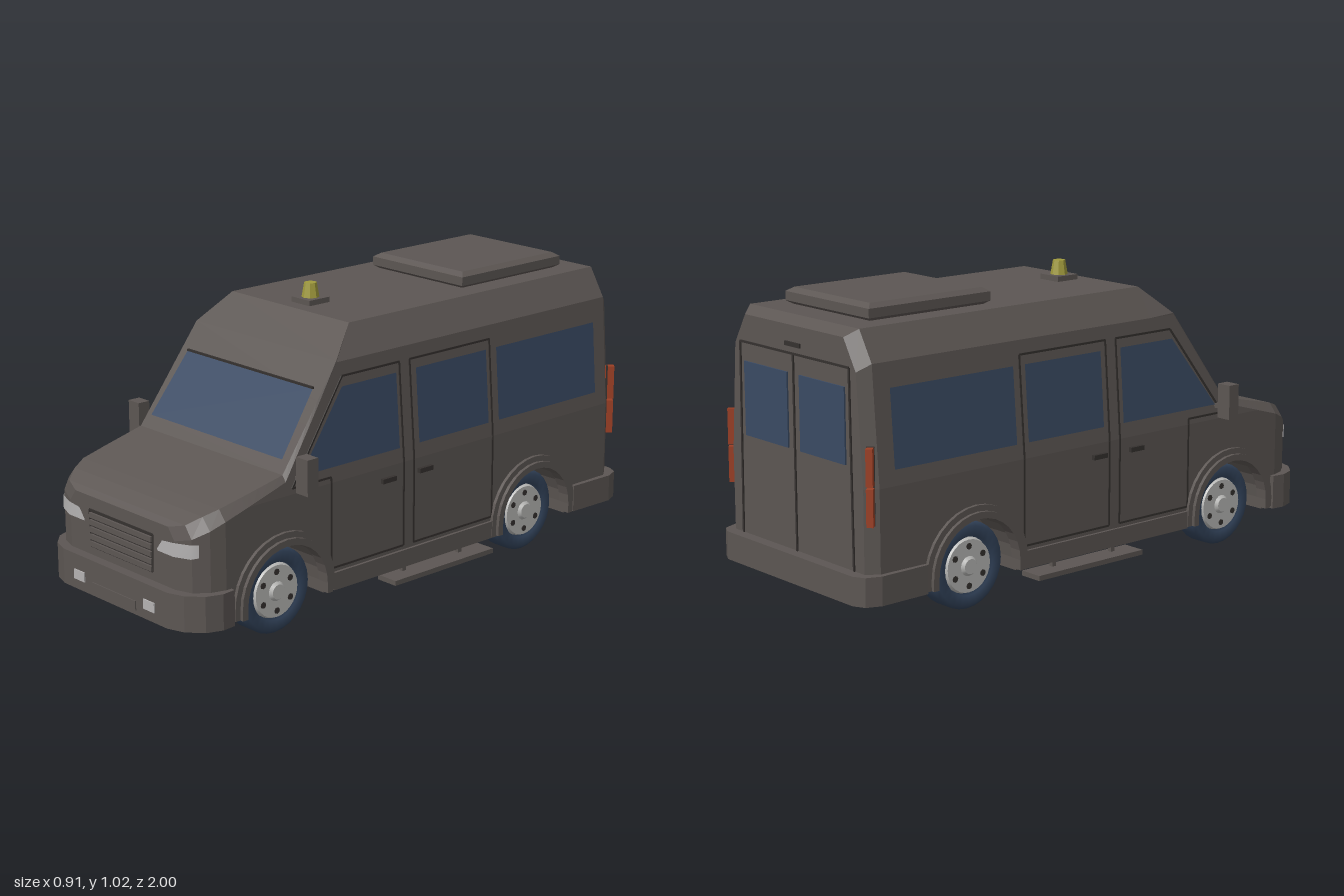
import * as THREE from 'three';

const mat = (name, color, side = THREE.FrontSide) => {
  const m = new THREE.MeshStandardMaterial({ color, side });
  m.name = name;
  return m;
};

export function createModel() {
  const paint = mat('bodyGrey', 0x5c5653);
  const seamDark = mat('seamDark', 0x35312f);
  const glass = mat('glassBlue', 0x3a4a63, THREE.DoubleSide);
  const rubber = mat('tyreBlue', 0x33445c);
  const silver = mat('wheelSilver', 0xb8b8b6);
  const lampWhite = mat('lampWhite', 0xb4b2b2, THREE.DoubleSide);
  const red = mat('tailRed', 0x9c3f24);
  const yellow = mat('beaconYellow', 0xa09a3c);

  const van = new THREE.Group();
  van.name = 'van';
  const add = (name, geo, m, x = 0, y = 0, z = 0) => {
    const mesh = new THREE.Mesh(geo, m);
    mesh.name = name;
    mesh.position.set(x, y, z);
    van.add(mesh);
    return mesh;
  };
  const box = (name, m, w, h, d, x, y, z) => add(name, new THREE.BoxGeometry(w, h, d), m, x, y, z);

  // Body profile rows: z, roof height, edge drop, edge inset, half width
  const profile = [
    [0.965, 0.42, 0.04, 0.03, 0.27], [0.945, 0.435, 0.04, 0.03, 0.33],
    [0.90, 0.46, 0.04, 0.035, 0.365], [0.85, 0.478, 0.035, 0.03, 0.38],
    [0.60, 0.535, 0.02, 0.015, 0.38], [0.36, 0.86, 0.005, 0, 0.38],
    [0.25, 0.955, 0.1, 0.06, 0.38], [-0.92, 0.955, 0.1, 0.06, 0.38],
    [-0.96, 0.93, 0.1, 0.06, 0.35],
  ];
  const sample = (z) => {
    let i = 0;
    while (i < profile.length - 2 && z < profile[i + 1][0]) i++;
    const a = profile[i], b = profile[i + 1], t = (a[0] - z) / (a[0] - b[0]);
    return a.map((v, k) => v + (b[k] - v) * t);
  };
  const sideX = (y, w = 0.38) => w - Math.max(0, (y - 0.47) / 0.385) * 0.03;

  // Stations along the body, with the lower edge lifted over each wheel
  const axles = [0.615, -0.54], axleY = 0.145, archR = 0.17, floorY = 0.105;
  const stations = profile.map((p) => [p[0], floorY]).filter(([z]) => axles.every((c) => Math.abs(z - c) > archR));
  for (const c of axles) {
    const angles = Array.from({ length: 13 }, (_, i) => (i * Math.PI) / 12);
    stations.push([c + archR + 1e-4, floorY], [c - archR - 1e-4, floorY]);
    angles.forEach((a) => stations.push([c + archR * Math.cos(a), axleY + archR * Math.sin(a)]));
  }
  stations.push([0.60, axleY + Math.sqrt(archR ** 2 - 0.015 ** 2)]);
  stations.sort((a, b) => b[0] - a[0]);

  const verts = [], faces = [], N = 8;
  stations.forEach(([z, yb], s) => {
    const [, top, drop, inset, w] = sample(z);
    const e = top - drop, y1 = Math.min(0.47, e);
    const half = [[w, yb], [sideX(y1, w), y1], [sideX(e, w), e], [sideX(e, w) - inset, top]];
    half.forEach(([x, y]) => verts.push(x, y, z));
    half.reverse().forEach(([x, y]) => verts.push(-x, y, z));
    if (s === 0) return;
    for (let k = 0; k < N; k++) {
      const a = (s - 1) * N + k, b = (s - 1) * N + ((k + 1) % N);
      faces.push(a, a + N, b + N, a, b + N, b);
    }
  });
  const last = (stations.length - 1) * N;
  for (let k = 1; k < N - 1; k++) faces.push(0, k, k + 1, last, last + k + 1, last + k);
  let shell = new THREE.BufferGeometry();
  shell.setAttribute('position', new THREE.Float32BufferAttribute(verts, 3));
  shell.setIndex(faces);
  shell = shell.toNonIndexed();
  shell.computeVertexNormals();
  add('body', shell, paint);
  box('underbody', paint, 0.5, 0.25, 1.6, 0, 0.23, 0.02);

  // Bumpers from half plan outlines
  const bumper = (name, pts, y0, y1) => {
    const all = [...pts, ...pts.map(([x, z]) => [-x, z]).reverse()];
    const shape = new THREE.Shape(all.map(([x, z]) => new THREE.Vector2(x, -z)));
    const g = new THREE.ExtrudeGeometry(shape, { depth: y1 - y0, bevelEnabled: false });
    add(name, g.rotateX(-Math.PI / 2), paint, 0, y0, 0);
  };
  bumper('frontBumper', [[0.395, 0.83], [0.4, 0.88], [0.38, 0.935], [0.33, 0.98], [0.27, 1]], 0.1, 0.22);
  bumper('rearBumper', [[0.395, -0.745], [0.4, -0.93], [0.38, -0.98], [0.34, -1]], 0.105, 0.2);

  // Strip of quads between pairs of points
  const strip = (name, m, pairs) => {
    const g = new THREE.BufferGeometry(), idx = [];
    for (let i = 0; i < pairs.length - 1; i++) idx.push(2 * i, 2 * i + 2, 2 * i + 3, 2 * i, 2 * i + 3, 2 * i + 1);
    g.setAttribute('position', new THREE.Float32BufferAttribute(pairs.flat(2), 3));
    g.setIndex(idx);
    g.computeVertexNormals();
    add(name, g, m);
  };
  // Thin bars along a path, used for panel gaps
  const seam = (name, pts, t = 0.007) => {
    for (let i = 0; i < pts.length - 1; i++) {
      const a = new THREE.Vector3(...pts[i]), b = new THREE.Vector3(...pts[i + 1]);
      const bar = add(name, new THREE.BoxGeometry(t, t, a.distanceTo(b)), seamDark);
      bar.position.copy(a).add(b).multiplyScalar(0.5);
      bar.lookAt(b);
    }
  };

  // Windscreen
  const screenZ = (y) => 0.6 - (y - 0.535) * (0.24 / 0.325) + 0.006;
  strip('windscreen', glass, [-1, 1].map((s) => [[s * 0.333, 0.575, screenZ(0.575)], [s * 0.315, 0.775, screenZ(0.775)]]));
  seam('windscreenTrim', [[-0.316, 0.777, screenZ(0.777)], [0.316, 0.777, screenZ(0.777)]]);

  // Grille and number plate panel
  seam('grilleFrame', [[-0.165, 0.375, 0.966], [0.165, 0.375, 0.966], [0.16, 0.25, 0.966], [-0.16, 0.25, 0.966], [-0.165, 0.375, 0.966]], 0.005);
  for (let i = 0; i < 5; i++) {
    box('grilleSlat', paint, 0.32, 0.017, 0.012, 0, 0.26 + i * 0.0245, 0.967);
    box('grilleGap', seamDark, 0.32, 0.006, 0.006, 0, 0.273 + i * 0.0245, 0.965);
  }
  box('platePanel', paint, 0.226, 0.032, 0.008, 0, 0.131, 1);

  // Rear doors
  const rz = -0.961;
  seam('rearDoorGap', [[0, 0.2, rz], [0, 0.84, rz], [0.29, 0.84, rz], [0.3, 0.2, rz]]);
  seam('rearDoorGap', [[0, 0.84, rz], [-0.29, 0.84, rz], [-0.3, 0.2, rz]]);
  box('rearHandle', seamDark, 0.08, 0.014, 0.012, 0, 0.87, rz);

  // Roof unit and beacon
  const unit = new THREE.ExtrudeGeometry(
    new THREE.Shape([[-0.2, 0.36], [0.2, 0.36], [0.2, 0.81], [-0.2, 0.81]].map((p) => new THREE.Vector2(...p))),
    { depth: 0.03, bevelSize: 0.02, bevelThickness: 0.014, bevelSegments: 1 });
  add('roofUnit', unit.rotateX(-Math.PI / 2), paint, 0, 0.966, 0);
  box('beaconBase', paint, 0.09, 0.02, 0.09, 0, 0.963, 0.155);
  const cone = new THREE.CylinderGeometry(0.021, 0.03, 0.05, 8).toNonIndexed();
  cone.computeVertexNormals();
  add('beacon', cone, yellow, 0, 0.997, 0.155);

  const arch = (r, R) => {
    const s = new THREE.Shape();
    s.moveTo(-R, -0.035).lineTo(-R, 0).absarc(0, 0, R, Math.PI, 0, true);
    s.lineTo(R, -0.035).lineTo(r, -0.035).lineTo(r, 0).absarc(0, 0, r, 0, Math.PI, false);
    s.lineTo(-r, -0.035);
    return s;
  };

  for (const s of [1, -1]) {
    const side = s > 0 ? 'left' : 'right';
    const on = (off) => ([z, y]) => [s * (sideX(y) + off), y, z];

    // Side windows follow the leaning wall
    const wins = [[[0.54, 0.522], [0.105, 0.522], [0.345, 0.775], [0.105, 0.775]],
      [[0.015, 0.522], [-0.315, 0.522], [0.015, 0.775], [-0.315, 0.775]],
      [[-0.365, 0.522], [-0.86, 0.522], [-0.365, 0.775], [-0.86, 0.775]]];
    for (const w of wins) {
      const [a, b, c, d] = w.map(on(0.004));
      strip(side + 'Window', glass, s > 0 ? [[a, c], [b, d]] : [[b, d], [a, c]]);
    }
    // Door gaps and handles
    seam(side + 'FrontDoorGap', [[0.575, 0.49], [0.34, 0.808], [0.087, 0.808], [0.087, 0.47], [0.087, 0.18],
      [0.41, 0.18], [0.41, 0.47], [0.41, 0.49], [0.575, 0.49]].map(on(-0.001)));
    seam(side + 'MiddleDoorGap', [[0.04, 0.18], [0.04, 0.47], [0.04, 0.808], [-0.335, 0.808], [-0.335, 0.47],
      [-0.335, 0.18], [0.04, 0.18]].map(on(-0.001)));
    for (const z of [0.16, -0.008]) box(side + 'DoorHandle', seamDark, 0.018, 0.016, 0.06, s * 0.384, 0.427, z);

    // Sill and step board
    box(side + 'Sill', paint, 0.03, 0.06, 0.765, s * 0.375, 0.135, 0.022);
    box(side + 'Step', paint, 0.085, 0.017, 0.465, s * 0.378, 0.073, -0.073);
    for (const z of [0.07, -0.195]) box(side + 'StepStrut', paint, 0.014, 0.04, 0.016, s * 0.362, 0.095, z);

    // Mirror
    box(side + 'Mirror', paint, 0.055, 0.12, 0.045, s * 0.4275, 0.54, 0.555);
    box(side + 'MirrorArm', paint, 0.06, 0.016, 0.02, s * 0.385, 0.518, 0.55);

    // Headlight wraps the front corner, fog light sits in the bumper
    const lamp = [[0.19, 0.33, 0.338, 0.97], [0.215, 0.33, 0.37, 0.97], [0.27, 0.33, 0.376, 0.97],
      [0.33, 0.332, 0.379, 0.95], [0.347, 0.336, 0.379, 0.93]];
    strip(side + 'Headlight', lampWhite, lamp.map(([x, lo, hi, z]) =>
      s > 0 ? [[x, lo, z], [x, hi, z]] : [[-x, hi, z], [-x, lo, z]]));
    box(side + 'FogLight', lampWhite, 0.055, 0.033, 0.009, s * 0.182, 0.151, 1);

    // Tail lights on the rear corner, rear door window
    for (const [y, h] of [[0.415, 0.12], [0.542, 0.12]]) {
      box(side + 'TailLight', red, 0.056, h, 0.022, s * 0.361, y, -0.938).rotation.y = s * 0.85;
    }
    box(side + 'TailLightSeam', seamDark, 0.006, 0.25, 0.025, s * 0.362, 0.479, -0.939).rotation.y = s * 0.85;
    box(side + 'RearWindow', glass, 0.235, 0.245, 0.009, s * 0.15, 0.655, rz);

    axles.forEach((z, i) => {
      const end = i ? 'Rear' : 'Front';
      // Stepped wheel arch flare
      for (const [r, R, d] of [[archR, 0.21, 0.032], [archR - 0.002, 0.19, 0.044]]) {
        const g = new THREE.ExtrudeGeometry(arch(r, R), { depth: d, bevelEnabled: false, curveSegments: 8 });
        add(side + end + 'Arch', g.rotateY(Math.PI / 2), paint, s > 0 ? 0.36 : -0.36 - d, axleY, z);
      }
      // Wheel: tyre, rim, hub and rim holes, axis along x
      const wheel = new THREE.Group();
      wheel.name = side + end + 'Wheel';
      wheel.position.set(s * 0.3, axleY, z);
      wheel.rotation.z = -s * Math.PI / 2;
      const part = (name, g, m, x, y, zz) => {
        const p = new THREE.Mesh(g, m);
        p.name = name;
        p.position.set(x, y, zz);
        wheel.add(p);
      };
      const tyre = [[0, -0.045], [0.13, -0.045], [0.145, -0.033], [0.145, 0.033], [0.132, 0.045], [0.098, 0.045], [0.094, 0.03], [0, 0.03]];
      part('tyre', new THREE.LatheGeometry(tyre.map((p) => new THREE.Vector2(...p)), 28), rubber, 0, 0, 0);
      part('rim', new THREE.CylinderGeometry(0.088, 0.095, 0.02, 28), silver, 0, 0.036, 0);
      part('hub', new THREE.CylinderGeometry(0.025, 0.035, 0.012, 16), silver, 0, 0.05, 0);
      for (let k = 0; k < 6; k++) {
        const a = (k * Math.PI) / 3;
        part('rimHole', new THREE.CylinderGeometry(0.011, 0.011, 0.004, 8), seamDark, 0.066 * Math.cos(a), 0.046, 0.066 * Math.sin(a));
      }
      van.add(wheel);
    });
  }
  return van;
}
